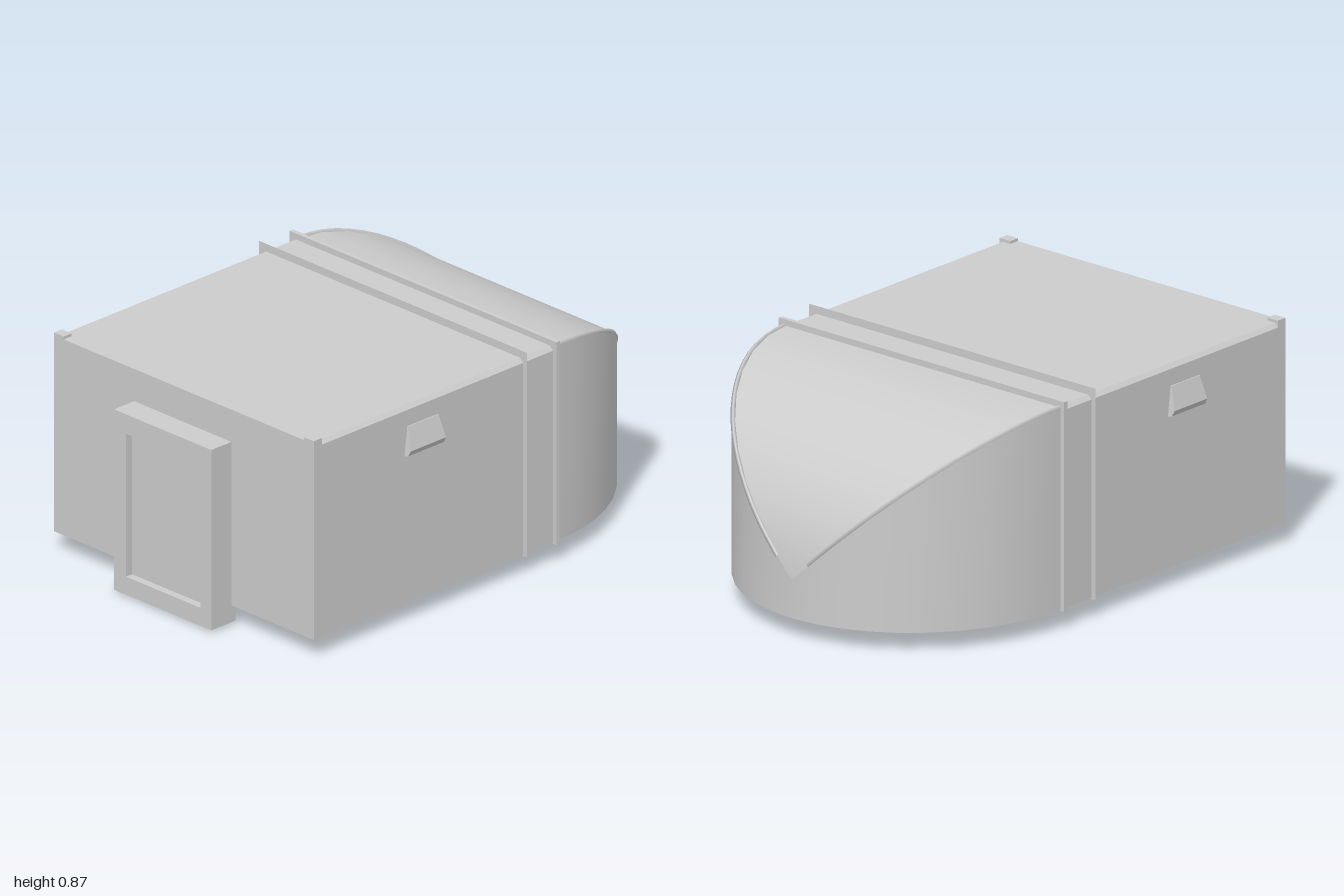
import * as THREE from 'three';

const mat = new THREE.MeshStandardMaterial({ color: 0xcccccc, side: THREE.DoubleSide });
const W = 0.655, Y0 = 0.075, Y1 = 0.835;   // half width, floor, roof
const ZF = 0.9, ZJ = -0.3, RZ = 0.7;       // front, start of rounded tail, tail length
const TIP = 0.22;                          // height where roof meets the tail wall

export function createModel() {
  const model = new THREE.Group();

  const add = (name, geometry, x = 0, y = 0, z = 0) => {
    const mesh = new THREE.Mesh(geometry, mat);
    mesh.name = name;
    mesh.position.set(x, y, z);
    model.add(mesh);
    return mesh;
  };
  const box = (name, x0, x1, y0, y1, z0, z1) =>
    add(name, new THREE.BoxGeometry(x1 - x0, y1 - y0, z1 - z0), (x0 + x1) / 2, (y0 + y1) / 2, (z0 + z1) / 2);
  const polygon = (pts) => new THREE.Shape(pts.map(([x, y]) => new THREE.Vector2(x, y)));

  // Indexed surface lofted through rows of points
  const loft = (rows) => {
    const n = rows[0].length, index = [];
    for (let i = 0; i < rows.length - 1; i++)
      for (let j = 0; j < n - 1; j++) {
        const a = i * n + j, b = a + n;
        index.push(a, a + 1, b, a + 1, b + 1, b);
      }
    const g = new THREE.BufferGeometry();
    g.setAttribute('position', new THREE.Float32BufferAttribute(rows.flat(2), 3));
    g.setIndex(index);
    g.computeVertexNormals();
    return g;
  };

  // Main box with slightly chamfered roof edges
  const c = 0.015;
  const section = polygon([[-W, Y0], [W, Y0], [W, Y1 - c], [W - c, Y1], [-W + c, Y1], [-W, Y1 - c]]);
  add('body', new THREE.ExtrudeGeometry(section, { depth: ZF - ZJ, bevelEnabled: false }), 0, 0, ZJ);

  // Rounded tail: half-ellipse wall meeting a roof that curves down to the back
  const STEPS = 10;
  const rim = (t) => [W * Math.cos(t), TIP + (Y1 - TIP) * Math.abs(Math.cos(t)), ZJ - RZ * Math.sin(t)];
  const top = [], bottom = [], roof = [];
  for (let i = 0; i <= 2 * STEPS; i++) {
    const [x, y, z] = rim((i / STEPS) * Math.PI / 2);
    top.push([x, y, z]);
    bottom.push([x, Y0, z]);
    if (i <= STEPS) roof.push([[-x, y, z], [x, y, z]]);
  }
  add('tailWall', loft([top, bottom]));
  add('tailRoof', loft(roof));
  const floor = new THREE.ShapeGeometry(polygon(bottom.map(([x, , z]) => [x, z])));
  floor.rotateX(Math.PI / 2);
  add('tailFloor', floor, 0, Y0, 0);

  // Trim strips along the tail rim
  for (const s of [1, -1]) {
    const pts = [];
    for (let i = 0; i <= STEPS; i++) {
      const [x, y, z] = rim((i / STEPS) * 1.45);
      pts.push(new THREE.Vector3(s * (x - 0.008), y - 0.002, z));
    }
    add('rimTrim', new THREE.TubeGeometry(new THREE.CatmullRomCurve3(pts), 20, 0.01, 4));
  }

  // Two joint flanges around the body: a thin sheet and a thicker plate
  add('frontFlange', new THREE.PlaneGeometry(1.35, 0.795), 0, 0.4675, -0.14);
  box('rearFlange', -0.672, 0.672, 0.07, 0.858, -0.305, -0.288);

  // Door frame with a recessed panel, and the lip under the floor
  const frame = polygon([[-0.25, 0.01], [0.24, 0.01], [0.24, 0.71], [-0.25, 0.71]]);
  frame.holes.push(polygon([[-0.19, 0.08], [-0.19, 0.635], [0.185, 0.635], [0.185, 0.08]]));
  add('doorFrame', new THREE.ExtrudeGeometry(frame, { depth: 0.1, bevelEnabled: false }), 0, 0, 0.9);
  box('doorPanel', -0.19, 0.185, 0.08, 0.635, 0.9, 0.97);
  box('doorSill', -0.25, 0.24, 0.01, Y0, 0.88, 0.9);

  // Sloped side lamps and small roof corner brackets
  for (const s of [1, -1]) {
    const lamp = new THREE.ExtrudeGeometry(
      polygon([[0, 0.645], [0.018, 0.65], [0.03, 0.672], [0.004, 0.757], [0, 0.757]]),
      { depth: 0.18, bevelEnabled: false });
    lamp.translate(0, 0, -0.09);
    const p = lamp.attributes.position;
    for (let i = 0; i < p.count; i++) p.setZ(i, p.getZ(i) * (1 - 1.5 * Math.max(0, p.getY(i) - 0.65)));
    lamp.computeVertexNormals();
    const mesh = add('sideLamp', lamp, s * W, 0, 0.36);
    if (s < 0) mesh.rotation.y = Math.PI;
    const x = s * 0.63;
    box('cornerBracket', x - 0.025, x + 0.025, Y1 - 0.02, 0.846, 0.86, ZF);
  }

  // Tapered ring under the floor
  const ring = [[0.222, Y0], [0.207, 0], [0.198, 0], [0.193, 0.03], [0.178, 0.033], [0.175, Y0]];
  const ringGeo = new THREE.LatheGeometry(ring.map(([r, y]) => new THREE.Vector2(r, y)), 32);
  add('floorRing', ringGeo, 0, 0, 0.34);

  return model;
}
